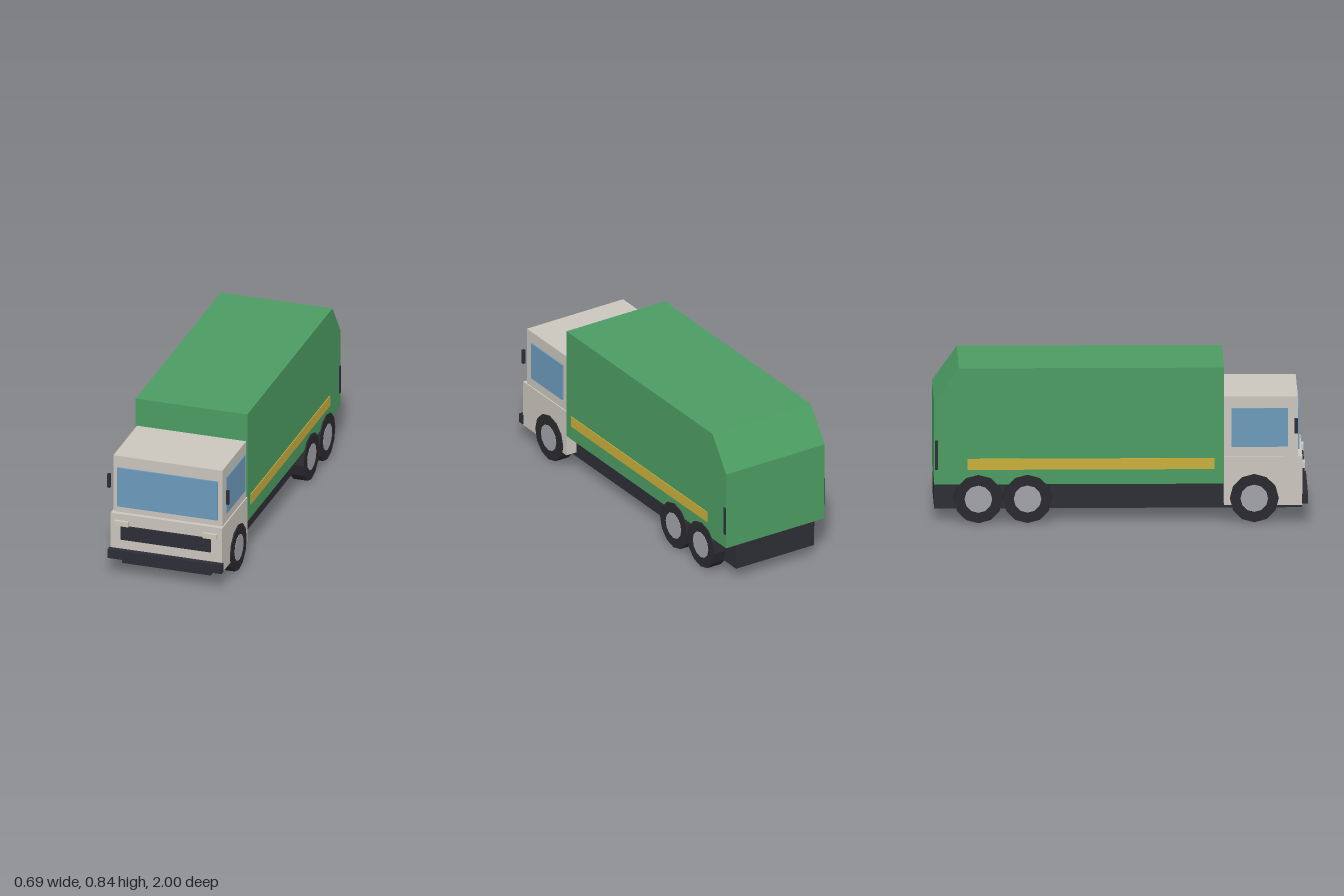
import * as THREE from 'three';

function mat(name, color) {
  const m = new THREE.MeshStandardMaterial({ color });
  m.name = name;
  return m;
}

export function createModel() {
  const truck = new THREE.Group();
  truck.name = 'refuseTruck';

  const green = mat('bodyGreen', 0x4c9c62);
  const cream = mat('cabCream', 0xcac5bd);
  const glass = mat('windowBlue', 0x6b9aba);
  const dark = mat('trimDark', 0x2d2d36);
  const rubber = mat('tyreBlack', 0x2a2a2f);
  const steel = mat('hubGrey', 0xa2a2aa);
  const yellow = mat('stripeYellow', 0xc9ae3c);
  const lamp = mat('lampPale', 0xc9c9bc);
  rubber.flatShading = steel.flatShading = true;

  // Box given by its limits on each axis
  function box(name, material, [x0, x1], [y0, y1], [z0, z1]) {
    const mesh = new THREE.Mesh(new THREE.BoxGeometry(x1 - x0, y1 - y0, z1 - z0), material);
    mesh.position.set((x0 + x1) / 2, (y0 + y1) / 2, (z0 + z1) / 2);
    mesh.name = name;
    truck.add(mesh);
  }
  // Same box on both sides of the truck
  function pair(name, material, [x0, x1], y, z) {
    box(name + 'Left', material, [x0, x1], y, z);
    box(name + 'Right', material, [-x1, -x0], y, z);
  }

  // Chassis
  box('chassis', dark, [-0.25, 0.25], [0.067, 0.212], [-0.998, 0.968]);

  // Refuse body: side profile with sloped rear, extruded across the width
  const profile = new THREE.Shape([
    [0.55, 0.21], [0.55, 0.842], [-0.867, 0.842], [-1, 0.655], [-1, 0.21],
  ].map(([z, y]) => new THREE.Vector2(-z, y)));
  const bodyGeo = new THREE.ExtrudeGeometry(profile, { depth: 0.63, bevelEnabled: false });
  bodyGeo.translate(0, 0, -0.315).rotateY(Math.PI / 2);
  const body = new THREE.Mesh(bodyGeo, green);
  body.name = 'refuseBody';
  truck.add(body);
  pair('sideStripe', yellow, [0.312, 0.319], [0.29, 0.35], [-0.82, 0.5]);
  pair('rearMarker', dark, [0.3, 0.319], [0.29, 0.45], [-0.996, -0.98]);

  // Cab
  box('cabLower', cream, [-0.315, 0.315], [0.093, 0.355], [0.55, 0.97]);
  box('cabUpper', cream, [-0.308, 0.308], [0.355, 0.683], [0.55, 0.945]);
  box('windshield', glass, [-0.284, 0.284], [0.39, 0.617], [0.946, 0.955]);
  pair('sideWindow', glass, [0.309, 0.317], [0.41, 0.62], [0.59, 0.892]);
  pair('mirror', dark, [0.327, 0.343], [0.487, 0.567], [0.928, 0.944]);

  // Front trim
  box('grille', dark, [-0.253, 0.253], [0.21, 0.289], [0.96, 0.983]);
  pair('headlight', lamp, [0.21, 0.288], [0.289, 0.318], [0.96, 0.985]);
  box('bumper', dark, [-0.321, 0.321], [0.1, 0.152], [0.966, 1]);

  // Wheels: one front axle and two rear axles
  const tyreGeo = new THREE.CylinderGeometry(0.131, 0.131, 0.082, 12).rotateZ(Math.PI / 2);
  const hubGeo = new THREE.CylinderGeometry(0.074, 0.074, 0.086, 12).rotateZ(Math.PI / 2);
  for (const z of [0.712, -0.5, -0.763]) {
    for (const side of [-1, 1]) {
      const wheel = new THREE.Group();
      wheel.name = 'wheel';
      const tyre = new THREE.Mesh(tyreGeo, rubber);
      tyre.name = 'tyre';
      const hub = new THREE.Mesh(hubGeo, steel);
      hub.name = 'hub';
      wheel.add(tyre, hub);
      wheel.position.set(side * 0.281, 0.131, z);
      truck.add(wheel);
    }
  }
  return truck;
}
